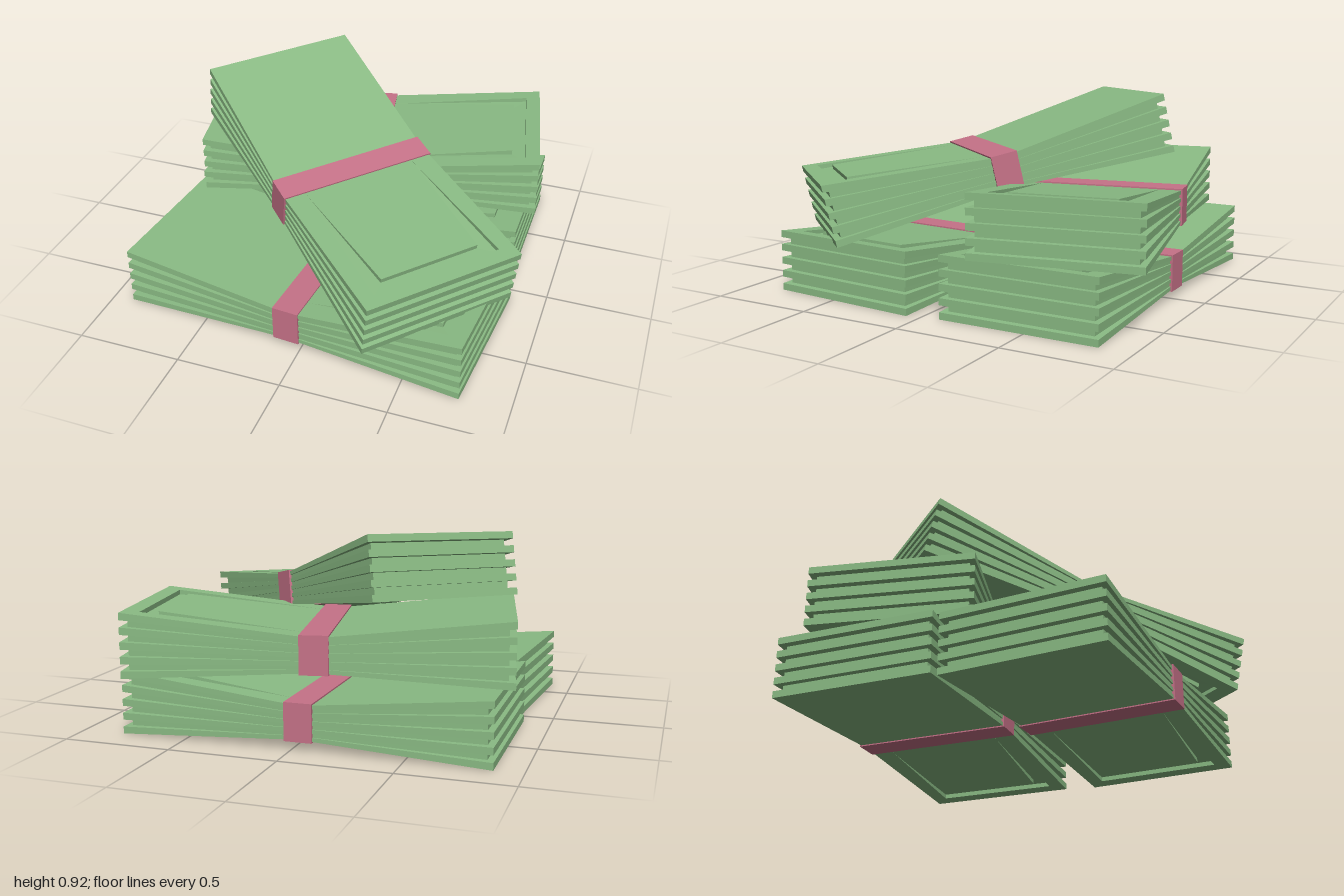
import * as THREE from 'three';

const HALF_L = 0.838, HALF_W = 0.379, HEIGHT = 0.288, LAYERS = 9;
const WAIST = 0.062;                        // half length of the flat part under the band
const WAIST_BOTTOM = 0.046, WAIST_TOP = 0.205;

const green = new THREE.MeshStandardMaterial({ color: 0x8abb84, side: THREE.DoubleSide });
green.name = 'paperGreen';
const pink = new THREE.MeshStandardMaterial({ color: 0xc67288 });
pink.name = 'bandPink';

// Height of level t (0..1): full at the ends, squeezed at the waist
function levelY(t, x) {
  const e = THREE.MathUtils.clamp((Math.abs(x) - WAIST) / (HALF_L - WAIST), 0, 1);
  return THREE.MathUtils.lerp(THREE.MathUtils.lerp(WAIST_BOTTOM, WAIST_TOP, t), t * HEIGHT, e);
}

function makeBuilder() {
  const pos = [];
  const tri = (a, b, c) => pos.push(...a, ...b, ...c);
  const quad = (a, b, c, d) => { tri(a, b, c); tri(a, c, d); };
  const build = () => {
    const g = new THREE.BufferGeometry();
    g.setAttribute('position', new THREE.Float32BufferAttribute(pos, 3));
    g.computeVertexNormals();
    return g;
  };
  return { tri, quad, build };
}

// Outer face of one half with a tapering engraved frame; up is 1 for top, -1 for bottom
function addFramedFace(b, t, up) {
  const p = (x, z, depth = 0) => [x, levelY(t, x) - up * depth, z];
  const quad = (a, c, d, e) => up > 0 ? b.quad(e, d, c, a) : b.quad(a, c, d, e);
  const D = 0.022;
  const pair = (x, z, depth) => [p(x, -z, depth), p(x, z, depth)];
  const [a0, a1] = pair(WAIST, HALF_W), [e0, e1] = pair(HALF_L, HALF_W);
  const [s0, s1] = pair(0.07, 0.28);
  const [o0, o1] = pair(0.768, 0.308), [p0, p1] = pair(0.768, 0.308, D);
  const [i0, i1] = pair(0.704, 0.239), [j0, j1] = pair(0.704, 0.239, D);
  // rim and raised panel
  quad(a0, e0, o0, s0);
  quad(e0, e1, o1, o0);
  quad(e1, a1, s1, o1);
  quad(a1, a0, s0, s1);
  quad(s0, i0, i1, s1);
  // groove floor
  quad(s0, p0, j0, s0);
  quad(p0, p1, j1, j0);
  quad(p1, s1, s1, j1);
  // groove walls
  quad(s0, o0, p0, s0);
  quad(o0, o1, p1, p0);
  quad(o1, s1, s1, p1);
  quad(s0, j0, i0, s0);
  quad(j0, j1, i1, i0);
  quad(j1, s1, s1, i1);
}

// One layer: a slab pinched at the waist; odd layers are set back from the edge
function layerGeometry(i) {
  const b = makeBuilder();
  const inset = i % 2 ? 0.03 : 0;
  const xs = [-HALF_L + inset, -WAIST, WAIST, HALF_L - inset];
  const sections = xs.map((x, k) => {
    const w = HALF_W - (k === 0 || k === 3 ? inset : inset * 0.2);
    const lo = levelY(i / LAYERS, x), hi = levelY((i + 1) / LAYERS, x);
    return [[x, lo, w], [x, hi, w], [x, hi, -w], [x, lo, -w]];
  });
  for (let k = 0; k < 3; k++) {
    const p = sections[k], q = sections[k + 1];
    for (let s = 0; s < 4; s++) {
      const framed = k === 2 && ((s === 1 && i === LAYERS - 1) || (s === 3 && i === 0));
      const n = (s + 1) % 4;
      if (!framed) b.quad(p[s], q[s], q[n], p[n]);
    }
  }
  const [first, last] = [sections[0], sections[3]];
  b.quad(...first);
  b.quad(last[3], last[2], last[1], last[0]);
  if (i === 0) addFramedFace(b, 0, -1);
  if (i === LAYERS - 1) addFramedFace(b, 1, 1);
  return b.build();
}

export function createModel() {
  const model = new THREE.Group();
  model.name = 'banknoteBundles';
  const layers = Array.from({ length: LAYERS }, (_, i) => layerGeometry(i));
  const bandGeometry = new THREE.BoxGeometry(0.127, 0.172, 0.772);

  function addBundle(name, x, y, z, turn = 0) {
    const bundle = new THREE.Group();
    bundle.name = name;
    layers.forEach((g, i) => {
      const layer = new THREE.Mesh(g, green);
      layer.name = 'paperLayer' + (i + 1);
      bundle.add(layer);
    });
    const band = new THREE.Mesh(bandGeometry, pink);
    band.name = 'paperBand';
    band.position.y = 0.126;
    bundle.add(band);
    bundle.position.set(x, y, z);
    bundle.rotation.y = turn;
    model.add(bundle);
    return bundle;
  }

  addBundle('frontBundle', -0.035, 0, 0.375, -0.083);
  addBundle('backBundle', -0.035, 0, -0.465);
  addBundle('upperBundle', -0.035, 0.295, -0.47, 0.193);

  // Top bundle leans across the others
  const leaning = addBundle('leaningBundle', 0.021, 0.443, 0.12);
  const ax = new THREE.Vector3(0.717, -0.213, 0.659).normalize();
  const ay = new THREE.Vector3(-0.675, -0.033, 0.735).cross(ax).normalize();
  const az = ax.clone().cross(ay);
  leaning.quaternion.setFromRotationMatrix(new THREE.Matrix4().makeBasis(ax, ay, az));

  return model;
}
